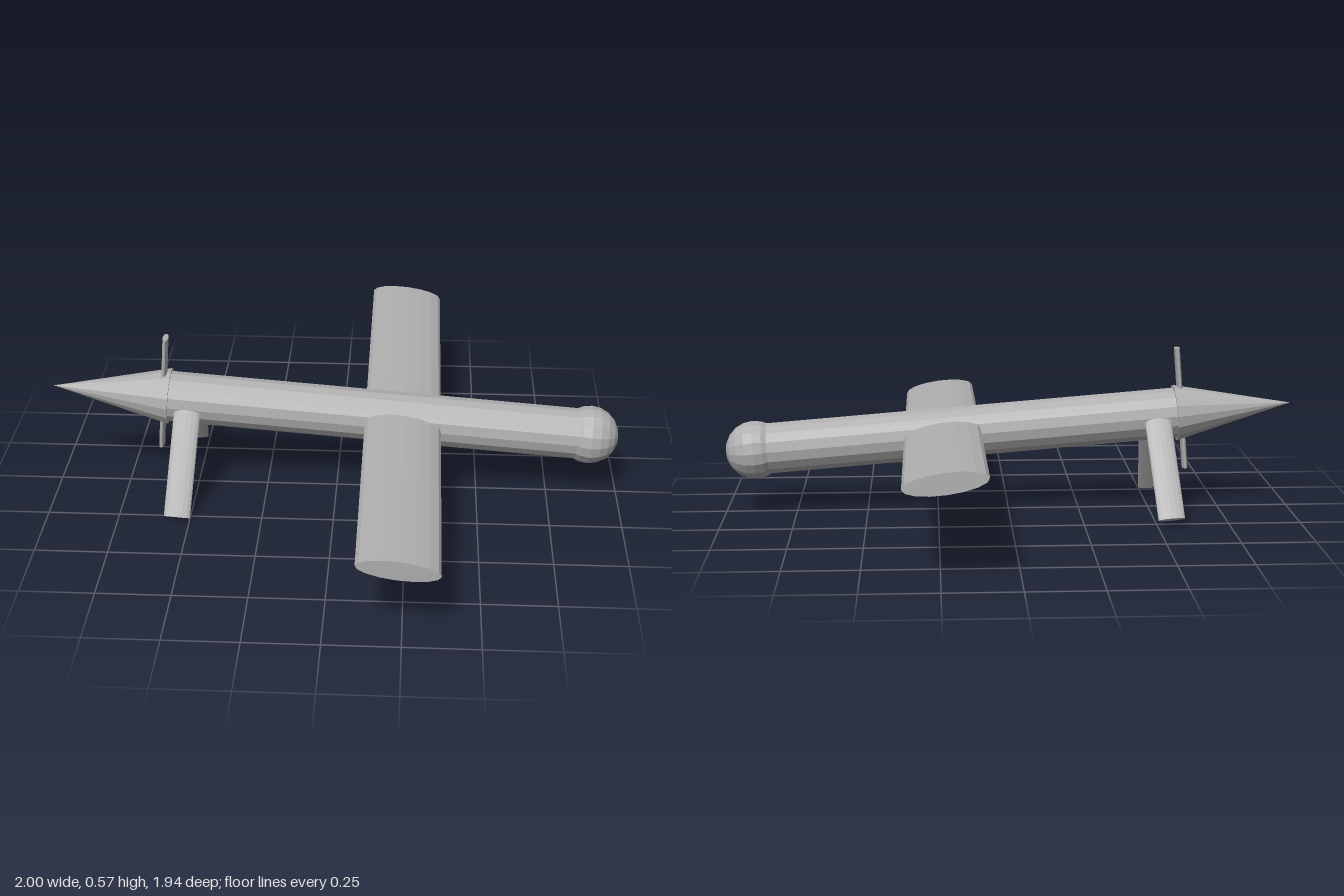
import * as THREE from 'three';

export function createModel() {
  const model = new THREE.Group();
  const grey = new THREE.MeshStandardMaterial({ color: 0xb0b0b0, flatShading: true });
  grey.name = 'airframe grey';

  // The aircraft is built level along +x, then banked and pitched as a whole
  const aircraft = new THREE.Group();
  aircraft.name = 'aircraft';
  const along = new THREE.Vector3(0.997, -0.0785, -0.004).normalize();
  const span = new THREE.Vector3(0.006, -0.039, 1);
  span.addScaledVector(along, -span.dot(along)).normalize();
  const up = new THREE.Vector3().crossVectors(span, along);
  aircraft.quaternion.setFromRotationMatrix(new THREE.Matrix4().makeBasis(along, up, span));
  aircraft.position.set(0, 0.301, -0.003);
  model.add(aircraft);

  const add = (name, geometry, x, y, z) => {
    const mesh = new THREE.Mesh(geometry, grey);
    mesh.name = name;
    mesh.position.set(x, y, z);
    aircraft.add(mesh);
    return mesh;
  };
  // Blade with an oval section: half sizes across x and z, length along y
  const blade = (halfX, halfZ, length) =>
    new THREE.CylinderGeometry(1, 1, length, 16).scale(halfX, 1, halfZ);

  // Body, domed nose and pointed tail
  add('fuselage', new THREE.CylinderGeometry(0.09, 0.09, 1.48, 16).rotateZ(-Math.PI / 2), 0.145, 0, 0);
  add('nose', new THREE.SphereGeometry(0.103, 16, 10).rotateZ(-Math.PI / 2), 0.895, 0, 0);
  add('tailCone', new THREE.ConeGeometry(0.1, 0.415, 16).rotateZ(Math.PI / 2), -0.8, 0, 0);

  // One continuous wing through the body, slightly nose down
  const wing = add('wing', blade(0.134, 0.034, 1.936).rotateX(Math.PI / 2), 0.234, 0.015, 0);
  wing.rotation.z = -0.05;

  // Splayed tail fins
  for (const side of [1, -1]) {
    const fin = add(side > 0 ? 'leftFin' : 'rightFin', blade(0.046, 0.011, 0.4), -0.522, -0.152, side * 0.176);
    fin.rotation.x = -side * 0.576;
  }

  // Propeller
  add('propeller', blade(0.01, 0.029, 0.43), -0.616, 0.016, 0);

  return model;
}
